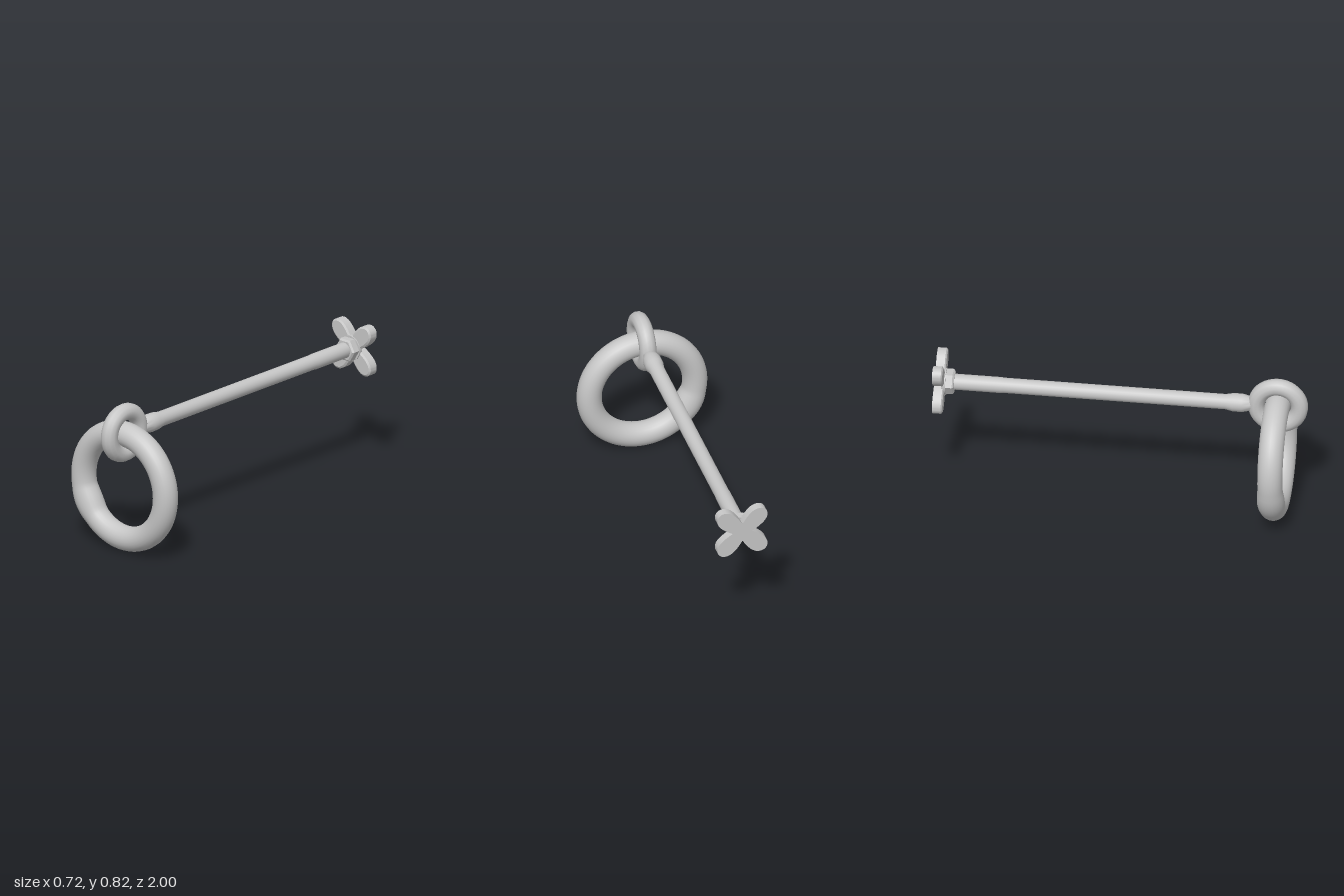
import * as THREE from 'three';
import { toCreasedNormals } from 'three/addons/utils/BufferGeometryUtils.js';

const AXIS_Y = 0.667; // height of the bolt axis

// Lathe along the z axis from [radius, z] pairs
function turned(pairs, segments, crease) {
  const pts = pairs.map(([r, z]) => new THREE.Vector2(r, z));
  const g = new THREE.LatheGeometry(pts, segments).rotateX(Math.PI / 2);
  return toCreasedNormals(g, crease);
}

// Round hanging ring with a swollen weld at the lower right-hand side
function ringGeometry() {
  const R = 0.294;
  const g = new THREE.TorusGeometry(R, 0.0675, 24, 96);
  const p = g.attributes.position;
  const weld = THREE.MathUtils.degToRad(209);
  for (let i = 0; i < p.count; i++) {
    const x = p.getX(i), y = p.getY(i), z = p.getZ(i);
    const r = Math.hypot(x, y), a = Math.atan2(y, x);
    let d = Math.abs(a - weld) % (2 * Math.PI);
    d = Math.min(d, 2 * Math.PI - d);
    const f = d < 0.32 ? Math.cos(d / 0.32 * Math.PI / 2) : 0;
    const swell = 1 + (r < R ? 0.19 : 0.09) * f;
    const k = (R + (r - R) * swell) / r;
    p.setXYZ(i, x * k, y * k, z * (1 + 0.1 * f));
  }
  return toCreasedNormals(g, 1);
}

// Four-petal outline, one petal per diagonal
function cloverShape() {
  const s = new THREE.Shape();
  for (let i = 0; i < 4; i++) {
    const a = Math.PI / 4 + i * Math.PI / 2, c = Math.cos(a), w = Math.sin(a);
    const at = (u, v) => [u * c - v * w, u * w + v * c];
    if (i === 0) s.moveTo(...at(0.038, -0.038));
    s.bezierCurveTo(...at(0.06, -0.044), ...at(0.09, -0.051), ...at(0.12, -0.05));
    s.bezierCurveTo(...at(0.155, -0.048), ...at(0.18, -0.027), ...at(0.18, 0));
    s.bezierCurveTo(...at(0.18, 0.027), ...at(0.155, 0.048), ...at(0.12, 0.05));
    s.bezierCurveTo(...at(0.09, 0.051), ...at(0.06, 0.044), ...at(0.038, 0.038));
  }
  return s;
}

export function createModel() {
  const steel = new THREE.MeshStandardMaterial({ color: 0xc6c6c6 });
  steel.name = 'greySteel';
  const group = new THREE.Group();
  group.name = 'ringBolt';
  const add = (name, geometry, y = AXIS_Y, z = 0) => {
    const m = new THREE.Mesh(geometry, steel);
    m.name = name;
    m.position.set(0, y, z);
    group.add(m);
  };

  add('hangingRing', ringGeometry(), 0.364, 0.838);

  // Eye with a twelve-sided section, standing in the yz plane
  const section = [];
  for (let i = 0; i <= 12; i++) {
    const a = Math.PI + (i + 0.5) * Math.PI / 6;
    section.push(new THREE.Vector2(0.116 + 0.046 * Math.cos(a), 0.046 * Math.sin(a)));
  }
  const eye = new THREE.LatheGeometry(section, 40).rotateZ(Math.PI / 2);
  add('eye', toCreasedNormals(eye, 1), AXIS_Y, 0.842);

  // Shank with a collar tapering into the eye
  add('shank', turned([
    [0, -0.96], [0.043, -0.96], [0.043, -0.65], [0.041, -0.63], [0.041, 0.56],
    [0.049, 0.6], [0.05, 0.65], [0.04, 0.69], [0.03, 0.715], [0, 0.725],
  ], 24, 0.8));

  // Hexagonal nut, corners pointing sideways, with a chamfered front edge
  add('nut', turned([
    [0, -0.942], [0.068, -0.942], [0.068, -0.904], [0.058, -0.895], [0, -0.895],
  ], 6, 0.4).rotateZ(Math.PI / 2));
  add('washer', turned([[0, -0.96], [0.07, -0.96], [0.07, -0.94], [0, -0.94]], 32, 0.5));

  // Clover end plate: square-edged back, bevelled front
  const shape = cloverShape();
  const back = new THREE.ExtrudeGeometry(shape, { depth: 0.04, bevelEnabled: false, curveSegments: 10 });
  add('cloverPlate', toCreasedNormals(back, 0.5), AXIS_Y, -1);
  const front = new THREE.ExtrudeGeometry(shape, {
    depth: 0.015, bevelThickness: 0.007, bevelSize: 0.01, bevelOffset: -0.01,
    bevelSegments: 1, curveSegments: 10,
  });
  add('cloverBevel', toCreasedNormals(front, 0.5), AXIS_Y, -0.968);
  return group;
}
